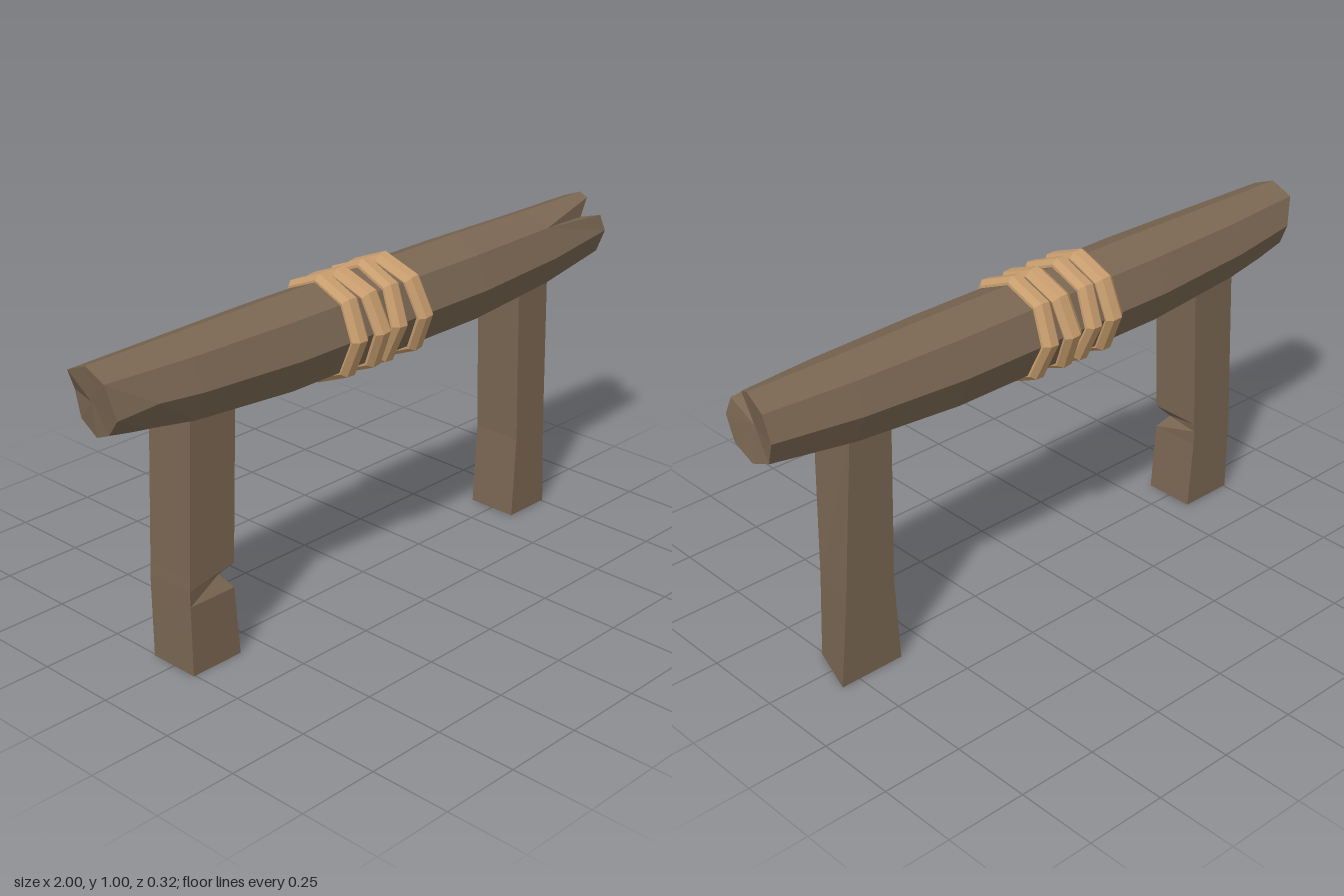
import * as THREE from 'three';

const wood = new THREE.MeshStandardMaterial({ color: 0x7a6652, flatShading: true });
wood.name = 'weathered wood';
const rope = new THREE.MeshStandardMaterial({ color: 0xc69c6d, flatShading: true });
rope.name = 'tan rope';

// Joins matching rings of [x, y, z] points into a capped, faceted solid
function loft(rings, startCentre, endCentre) {
  const pos = [];
  const a = new THREE.Vector3(), b = new THREE.Vector3(), c = new THREE.Vector3();
  const tri = (p, q, r) => {
    a.fromArray(p);
    b.fromArray(q).sub(a);
    c.fromArray(r).sub(a);
    if (b.cross(c).length() > 1e-8) pos.push(...p, ...q, ...r);
  };
  const n = rings[0].length;
  const last = rings[rings.length - 1];
  for (let j = 0; j < n; j++) {
    const k = (j + 1) % n;
    for (let i = 0; i < rings.length - 1; i++) {
      const lo = rings[i], hi = rings[i + 1];
      tri(lo[j], lo[k], hi[k]);
      tri(lo[j], hi[k], hi[j]);
    }
    tri(startCentre, rings[0][k], rings[0][j]);
    tri(endCentre, last[j], last[k]);
  }
  const geo = new THREE.BufferGeometry();
  geo.setAttribute('position', new THREE.Float32BufferAttribute(pos, 3));
  geo.computeVertexNormals();
  return geo;
}

// Octagon around the x axis, from the top towards the front.
// The upper front corner is tripled so that it can open into a split.
function logRing(x, cy, r) {
  return [0, 1, 1, 1, 2, 3, 4, 5, 6, 7].map((j) => {
    const t = (j * Math.PI) / 4;
    return [x, cy + r * Math.cos(t), r * Math.sin(t)];
  });
}

function makeLog() {
  const start = logRing(-1, 0.865, 0.102);
  // worn and chipped corners on one end
  start[4] = [-0.985, 0.84, 0.097];
  start[5] = [-0.975, 0.785, 0.05];
  start[6][0] = -0.975;
  start[7][0] = -0.965;
  start[8] = [-0.955, 0.862, -0.105];

  const shoulder = logRing(-0.72, 0.845, 0.125);
  const chip = logRing(-0.86, 0.855, 0.1135);
  chip[5] = [0, 1, 2].map((i) => start[5][i] * 0.55 + shoulder[5][i] * 0.45);

  // wedge-shaped split on the other end
  const end = logRing(0.99, 0.865, 0.104);
  end[1] = [0.985, 0.958, 0.032];
  end[2] = [0.935, 0.91, 0.048];
  end[3] = [0.98, 0.915, 0.09];
  end[8][0] = 1;
  end[9][0] = 1;

  const rings = [
    start, chip, shoulder,
    logRing(-0.38, 0.835, 0.14), logRing(0.38, 0.835, 0.14),
    logRing(0.72, 0.845, 0.125), end,
  ];
  return loft(rings, [-0.985, 0.865, 0], [0.975, 0.868, 0]);
}

// Each row: y, then x of the right front, left front, left back, right back corners
function makeLeg(rows, notch) {
  const d = 0.081;
  const rings = rows.map(([y, p, q, r, s]) => [[p, y, d], [q, y, d], [r, y, -d], [s, y, -d]]);
  if (notch) rings[notch.row][1] = notch.point;
  const mid = (rows[0][1] + rows[0][2]) / 2;
  return loft(rings, [mid, 0.015, 0], [mid, 0.78, 0]);
}

export function createModel() {
  const group = new THREE.Group();
  const add = (name, geo, mat) => {
    const mesh = new THREE.Mesh(geo, mat);
    mesh.name = name;
    group.add(mesh);
    return mesh;
  };

  add('log', makeLog(), wood);

  // nicked leg
  add('rightLeg', makeLeg([
    [0, -0.755, -0.58, -0.58, -0.755],
    [0.215, -0.757, -0.597, -0.597, -0.757],
    [0.262, -0.757, -0.597, -0.597, -0.757],
    [0.29, -0.755, -0.595, -0.595, -0.755],
    [0.78, -0.733, -0.573, -0.573, -0.733],
  ], { row: 2, point: [-0.625, 0.255, 0.05] }), wood);

  // leg flaring outwards at the back
  add('leftLeg', makeLeg([
    [0, 0.6, 0.757, 0.81, 0.6],
    [0.26, 0.614, 0.745, 0.783, 0.614],
    [0.78, 0.6, 0.735, 0.74, 0.6],
  ]), wood);

  // rope bindings: bevelled octagonal hoops, each slightly askew
  const profile = [
    [0.12, -0.032], [0.146, -0.032], [0.161, -0.015],
    [0.161, 0.015], [0.146, 0.032], [0.12, 0.032],
  ].map(([r, x]) => new THREE.Vector2(r, x));
  const hoop = new THREE.LatheGeometry(profile, 8).rotateZ(-Math.PI / 2);
  [
    [-0.164, 0, -0.03],
    [-0.078, 0.05, 0.09],
    [-0.003, 0, -0.09],
    [0.093, 0.08, 0.1],
  ].forEach(([x, turn, lean], i) => {
    const band = add(`ropeBand${i + 1}`, hoop, rope);
    band.position.set(x, 0.835, 0);
    band.rotation.set(0, turn, lean);
  });

  return group;
}
